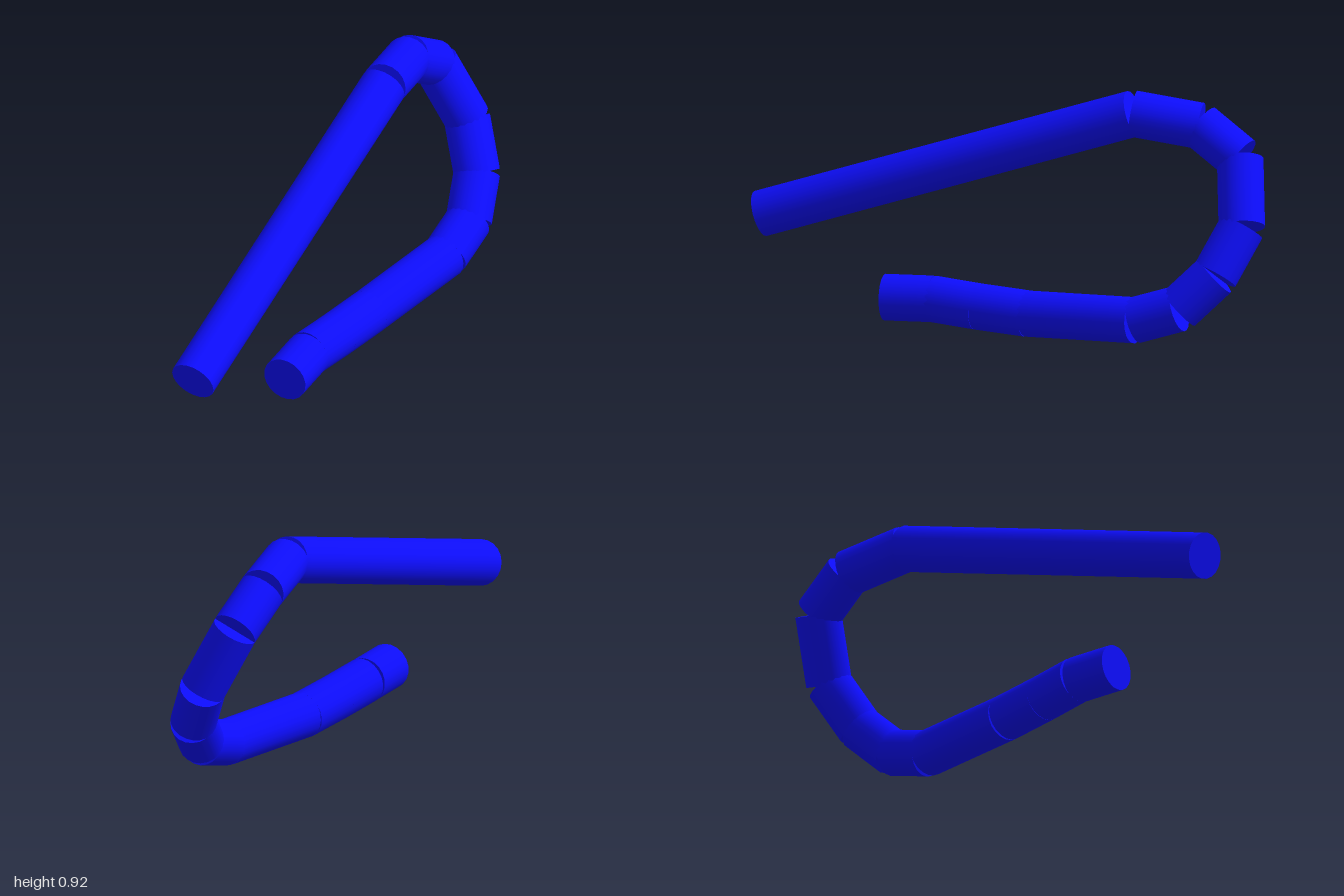
import * as THREE from 'three';

const RADIUS = 0.086;
const SIDES = 20;

// Centreline of the bent tube, from the long free end to the short one
const PATH = [
  [-0.972, 0.38, 0.125],
  [0.45, 0.838, -0.083],
  [0.69, 0.80, -0.154],
  [0.852, 0.69, -0.155],
  [0.909, 0.457, -0.05],
  [0.845, 0.287, 0.045],
  [0.725, 0.162, 0.1],
  [0.555, 0.108, 0.122],
  [0.11, 0.093, 0.109],
  [-0.09, 0.104, 0.115],
  [-0.27, 0.118, 0.12],
  [-0.452, 0.115, 0.152],
].map((p) => new THREE.Vector3(...p));

// Straight capped cylinder between two points
function rod(a, b, material) {
  const dir = b.clone().sub(a);
  const mesh = new THREE.Mesh(
    new THREE.CylinderGeometry(RADIUS, RADIUS, dir.length(), SIDES), material);
  mesh.position.copy(a).add(b).multiplyScalar(0.5);
  mesh.quaternion.setFromUnitVectors(new THREE.Vector3(0, 1, 0), dir.normalize());
  return mesh;
}

export function createModel() {
  const group = new THREE.Group();
  group.name = 'bentTube';
  const blue = new THREE.MeshStandardMaterial({ color: 0x0d0dff });

  // Square-cut segments leave open wedges on the outside of each bend
  for (let i = 0; i < PATH.length - 1; i++) {
    const segment = rod(PATH[i], PATH[i + 1], blue);
    segment.name = i === 0 ? 'longArm' : `tubeSegment${i}`;
    group.add(segment);
  }
  return group;
}
